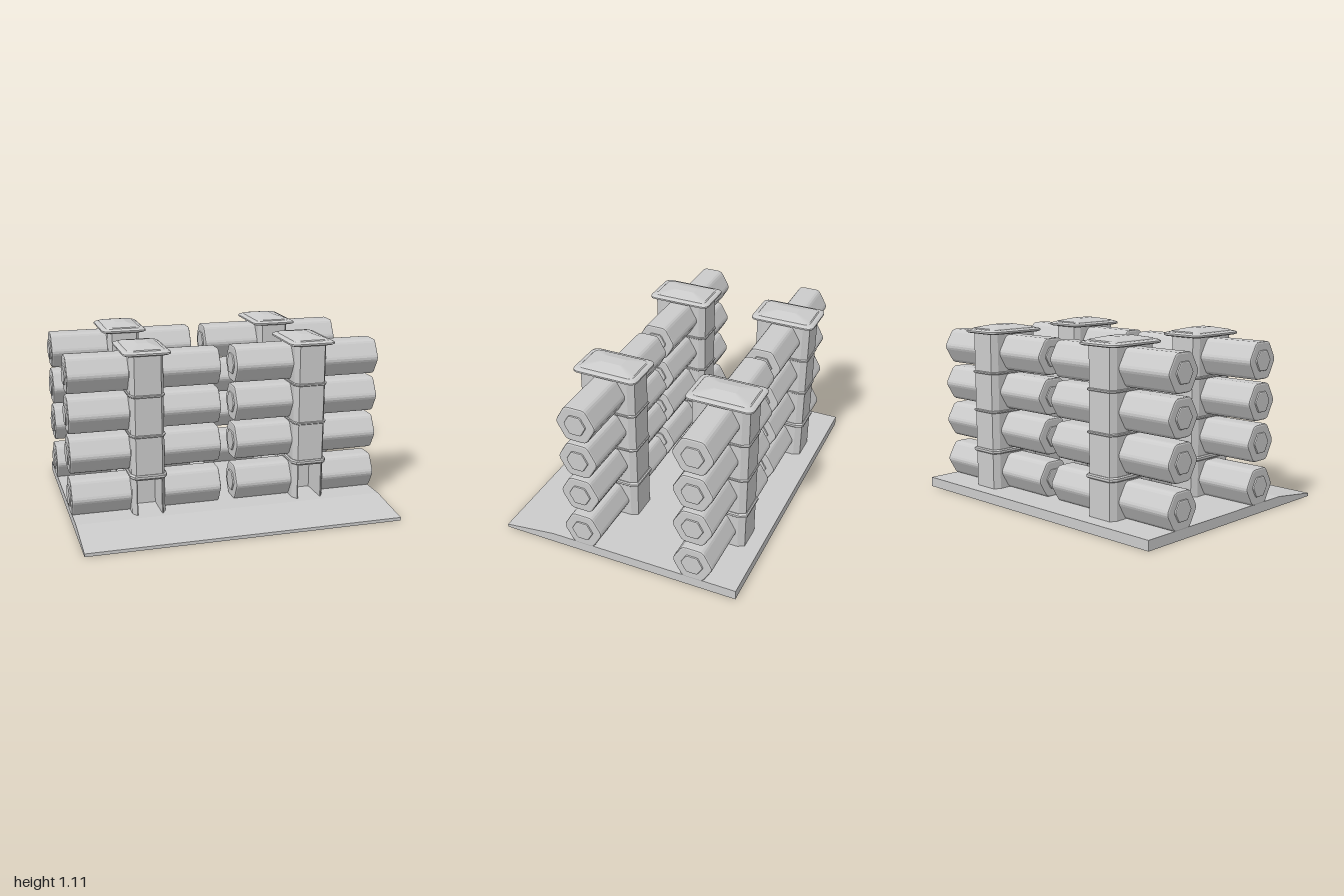
import * as THREE from 'three';

const material = new THREE.MeshStandardMaterial({ color: 0xcccccc, flatShading: true });

function mesh(name, geometry, x = 0, y = 0, z = 0) {
  const m = new THREE.Mesh(geometry, material);
  m.name = name;
  m.position.set(x, y, z);
  return m;
}

// Rectangle outline with cut corners; steps > 1 rounds them
function outline(hx, hz, cx, cz, steps = 1) {
  const pts = [];
  for (let q = 0; q < 4; q++) {
    const sx = q === 0 || q === 3 ? 1 : -1, sz = q < 2 ? 1 : -1;
    for (let i = 0; i <= steps; i++) {
      const a = (q + i / steps) * Math.PI / 2;
      pts.push([sx * (hx - cx) + cx * Math.cos(a), sz * (hz - cz) + cz * Math.sin(a)]);
    }
  }
  return pts;
}

// Closed solid through horizontal sections [y, outline], bottom to top
function loft(sections) {
  const pos = [], index = [], n = sections[0][1].length, last = sections.length - 1;
  sections.forEach(([y, pts]) => pts.forEach(([x, z]) => pos.push(x, y, z)));
  for (let s = 0; s < last; s++) {
    for (let i = 0; i < n; i++) {
      const a = s * n + i, b = s * n + (i + 1) % n;
      index.push(a, a + n, b, b, a + n, b + n);
    }
  }
  for (let i = 1; i < n - 1; i++) {
    index.push(0, i, i + 1);
    index.push(last * n, last * n + i + 1, last * n + i);
  }
  const g = new THREE.BufferGeometry();
  g.setAttribute('position', new THREE.Float32BufferAttribute(pos, 3));
  g.setIndex(index);
  const flat = g.toNonIndexed();
  flat.computeVertexNormals();
  return flat;
}

// Hexagonal bar along x with softened edges and bevelled ends
function hexBar(radius, x0, x1, round, bevel) {
  const r = radius - bevel * 1.155, shape = new THREE.Shape();
  const corner = i => new THREE.Vector2(Math.cos(i * Math.PI / 3), Math.sin(i * Math.PI / 3)).multiplyScalar(r);
  for (let i = 0; i < 6; i++) {
    const c = corner(i);
    const a = c.clone().lerp(corner(i - 1), round), b = c.clone().lerp(corner(i + 1), round);
    if (i === 0) shape.moveTo(a.x, a.y);
    else shape.lineTo(a.x, a.y);
    shape.quadraticCurveTo(c.x, c.y, b.x, b.y);
  }
  shape.closePath();
  const g = new THREE.ExtrudeGeometry(shape, {
    depth: x1 - x0 - 2 * bevel, bevelEnabled: true, bevelSize: bevel,
    bevelThickness: bevel, bevelSegments: 2, curveSegments: 3
  });
  g.translate(0, 0, x0 + bevel);
  g.rotateY(Math.PI / 2);
  return g;
}

// Base slab with a ramp along the front
function baseGeometry() {
  const s = new THREE.Shape();
  s.moveTo(0.775, 0);
  s.lineTo(0.775, 0.02);
  s.lineTo(0.44, 0.062);
  s.lineTo(-0.775, 0.062);
  s.lineTo(-0.775, 0);
  s.closePath();
  const g = new THREE.ExtrudeGeometry(s, { depth: 1.97, bevelEnabled: false });
  g.translate(0, 0, -0.985);
  g.rotateY(-Math.PI / 2);
  return g;
}

const HX = 0.103, HZ = 0.178, CX = 0.022, CZ = 0.04;

// Foot of the post, open at the front
function footGeometry() {
  const s = new THREE.Shape();
  const w = 0.075, back = HZ - 0.2;
  const pts = [
    [w, HZ], [HX - CX, HZ], [HX, HZ - CZ], [HX, CZ - HZ], [HX - CX, -HZ],
    [CX - HX, -HZ], [-HX, CZ - HZ], [-HX, HZ - CZ], [CX - HX, HZ], [-w, HZ], [-w, back], [w, back]
  ];
  pts.forEach(([x, z], i) => (i ? s.lineTo(x, -z) : s.moveTo(x, -z)));
  s.closePath();
  const g = new THREE.ExtrudeGeometry(s, { depth: 0.24, bevelEnabled: false });
  g.rotateX(-Math.PI / 2);
  g.translate(0, 0.05, 0);
  return g;
}

function bandGeometry(h, out) {
  const ring = (o) => outline(HX + o, HZ + o, CX, CZ);
  return loft([[-h, ring(out * 0.4)], [-h * 0.5, ring(out)], [h * 0.5, ring(out)], [h, ring(out * 0.4)]]);
}

function capGeometry() {
  const ring = (hx, hz, c) => outline(hx, hz, c, c, 3);
  return loft([
    [1.058, ring(0.132, 0.196, 0.035)],
    [1.064, ring(0.145, 0.208, 0.04)],
    [1.074, ring(0.145, 0.208, 0.04)],
    [1.082, ring(0.130, 0.194, 0.035)],
    [1.084, ring(0.114, 0.178, 0.03)],
    [1.090, ring(0.108, 0.172, 0.03)],
    [1.109, ring(0.036, 0.065, 0.008)]
  ]);
}

export function createModel() {
  const model = new THREE.Group();
  model.name = 'barrelRack';
  model.add(mesh('base', baseGeometry()));

  const foot = footGeometry();
  const shaft = loft([[0.285, outline(HX, HZ, CX, CZ)], [1.065, outline(HX, HZ, CX, CZ)]]);
  const cap = capGeometry();
  const thinBand = bandGeometry(0.008, 0.008);
  const thickBand = bandGeometry(0.014, 0.012);
  const fullBar = hexBar(0.13, -0.47, 0.47, 0.16, 0.01);
  const halfBars = [hexBar(0.13, -0.47, -0.085, 0.16, 0.01), hexBar(0.13, 0.085, 0.47, 0.16, 0.01)];
  const knobs = [hexBar(0.071, -0.48, -0.46, 0.08, 0.007), hexBar(0.071, 0.46, 0.48, 0.08, 0.007)];

  for (const x of [-0.52, 0.52]) {
    for (const z of [0.22, -0.502]) {
      const stack = new THREE.Group();
      stack.name = 'barrelStack';
      stack.position.set(x, 0, z);

      // Post with bands and a domed cap
      stack.add(mesh('postFoot', foot), mesh('postShaft', shaft), mesh('postCap', cap, 0, 0, -0.003));
      stack.add(mesh('thickBand', thickBand, 0, 0.305));
      for (const y of [0.562, 0.81]) stack.add(mesh('thinBand', thinBand, 0, y));

      // Four hexagonal barrels; the lowest is split around the open foot
      for (const y of [0.17, 0.44, 0.69, 0.938]) {
        const bars = y < 0.2 ? halfBars : [fullBar];
        for (const g of bars) stack.add(mesh('barrel', g, 0, y));
        for (const g of knobs) stack.add(mesh('barrelEndPlate', g, 0, y));
      }
      model.add(stack);
    }
  }
  return model;
}
